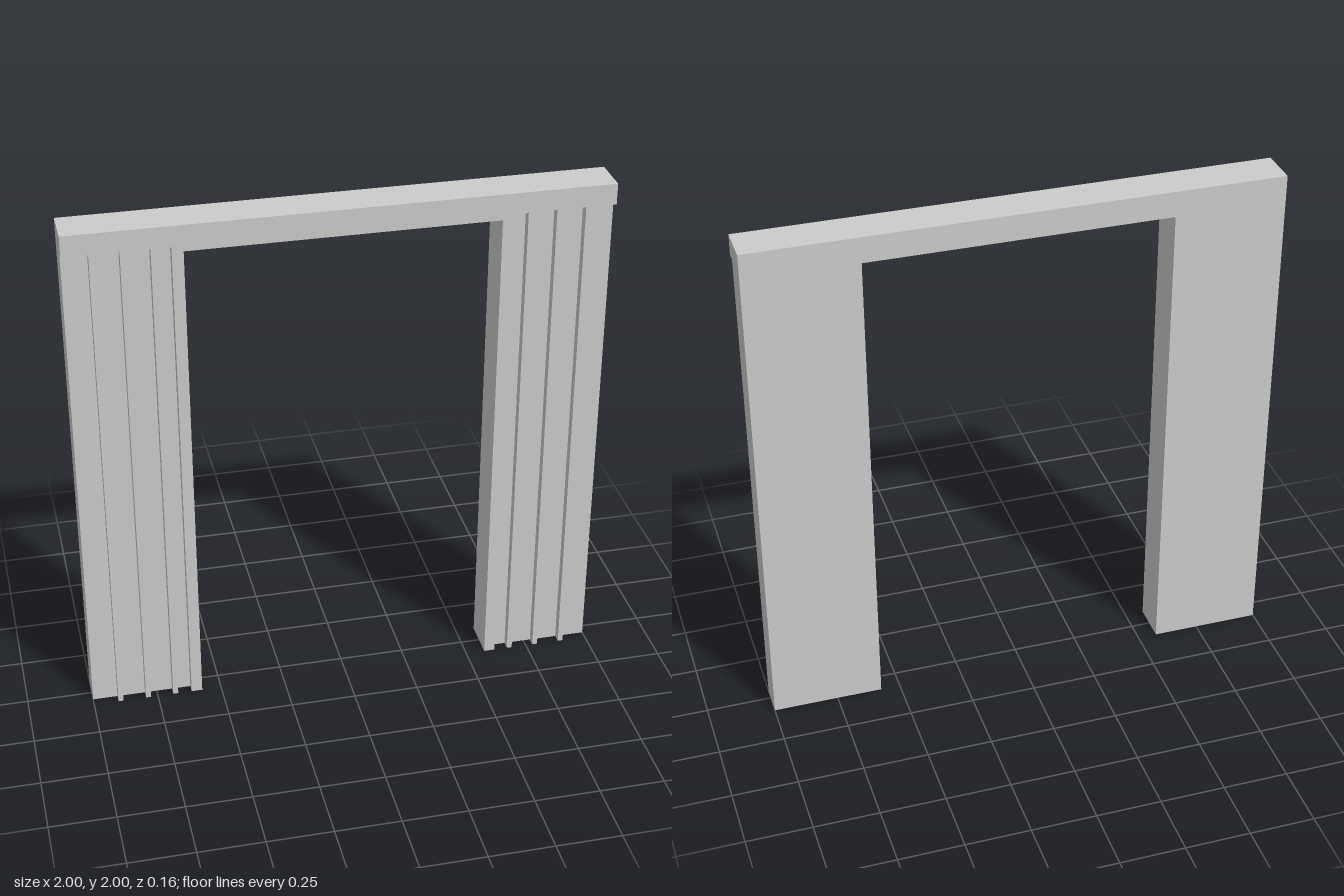
import * as THREE from 'three';

const BACK = -0.078, RECESS = 0.044, FRONT = 0.078;
const INNER = 0.575, SOFFIT = 1.9, PANEL_TOP = 1.92;
// Recessed panels of one leg, [inner x, outer x]; the strips between them are ribs
const PANELS = [[0.617, 0.67], [0.69, 0.777], [0.797, 0.885], [0.905, 1]];

const material = new THREE.MeshStandardMaterial({ color: 0xcccccc, flatShading: true });

// Frame outline, mirrored from the points of its +x half (from inner foot to top corner)
function slab(name, half, z0, z1) {
  const mirrored = half.map(([x, y]) => [-x, y]).reverse();
  const shape = new THREE.Shape([...half, ...mirrored].map(([x, y]) => new THREE.Vector2(x, y)));
  const geometry = new THREE.ExtrudeGeometry(shape, { depth: z1 - z0, bevelEnabled: false });
  geometry.translate(0, 0, z0);
  const mesh = new THREE.Mesh(geometry, material);
  mesh.name = name;
  return mesh;
}

export function createModel() {
  const group = new THREE.Group();
  group.name = 'doorFrame';

  // Plain back layer: two legs and the lintel
  group.add(slab('frameBody',
    [[INNER, SOFFIT], [INNER, 0], [1, 0], [1, 2]], BACK, RECESS));

  // Front layer: lintel face with vertical ribs running down to the floor
  const comb = [[INNER, SOFFIT], [INNER, 0]];
  for (const [a, b] of PANELS) {
    comb.push([a, 0], [a, PANEL_TOP], [b, PANEL_TOP]);
    if (b < 1) comb.push([b, 0]);
  }
  comb.push([1, 2]);
  group.add(slab('lintelAndRibs', comb, RECESS, FRONT));

  return group;
}
